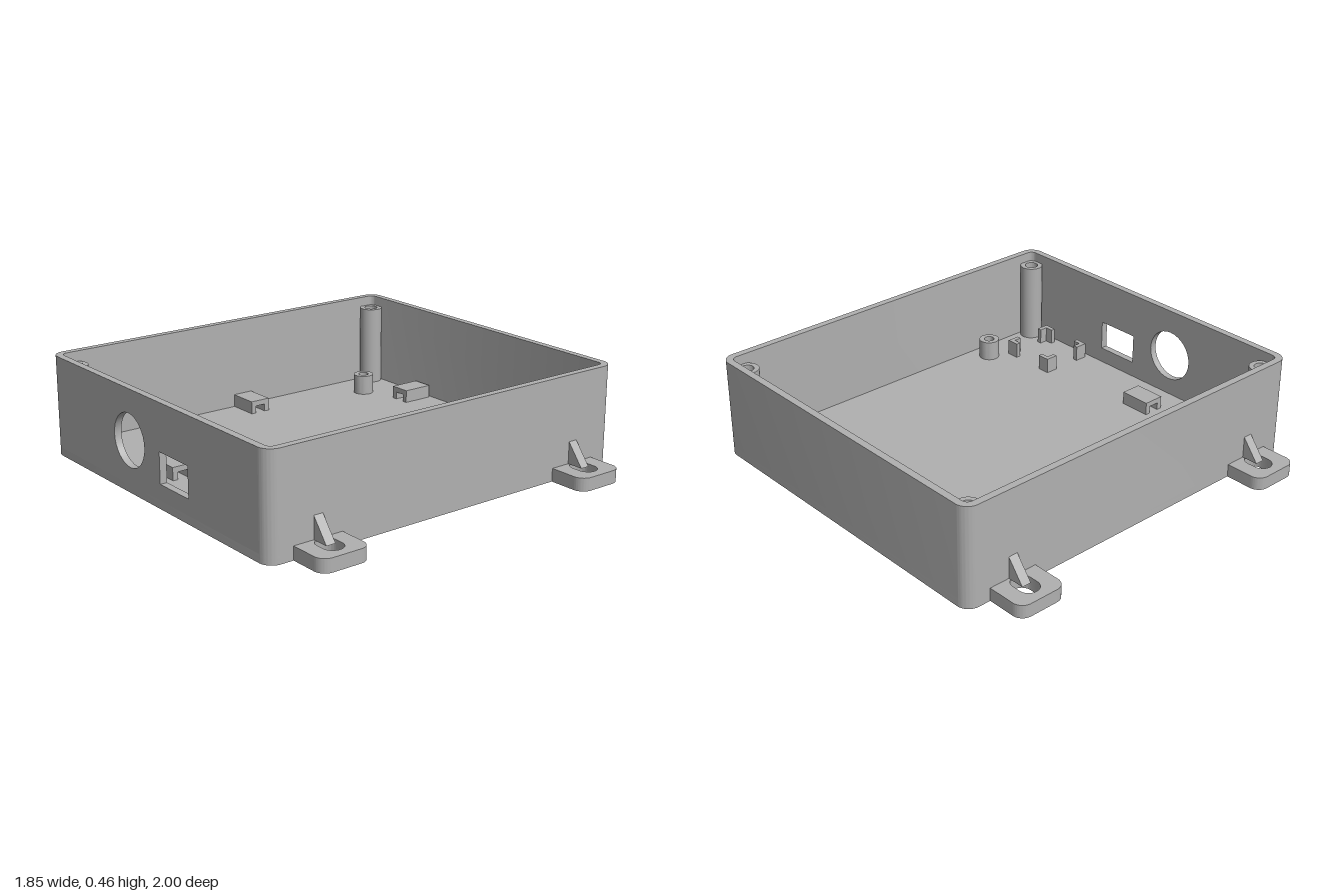
import * as THREE from 'three';
import { toCreasedNormals } from 'three/addons/utils/BufferGeometryUtils.js';

const W = 0.925, D = 0.822, H = 0.463;   // half width, half depth, height
const R = 0.06, T = 0.033;               // corner radius, wall thickness
const FLOOR = 0.037, GROOVE = 0.018;

export function createModel() {
  const model = new THREE.Group();
  model.name = 'enclosureBase';
  const grey = new THREE.MeshStandardMaterial({ color: 0xb0b0b0 });
  grey.name = 'grey plastic';

  const add = (name, geometry, parent = model) => {
    const mesh = new THREE.Mesh(toCreasedNormals(geometry, 0.5), grey);
    mesh.name = name;
    parent.add(mesh);
    return mesh;
  };
  const extrude = (shape, depth) =>
    new THREE.ExtrudeGeometry(shape, { depth, bevelEnabled: false, curveSegments: 16 });
  // plan shape (x, z) raised from y0 to y1
  const rise = (shape, y0, y1) => extrude(shape, y1 - y0).rotateX(Math.PI / 2).translate(0, y1, 0);
  // side shape (z, y) running from x1 towards -x
  const across = (shape, x1, width) => extrude(shape, width).rotateY(-Math.PI / 2).translate(x1, 0, 0);
  const poly = (...points) => new THREE.Shape(points.map(([x, y]) => new THREE.Vector2(x, y)));
  const rect = (x0, y0, x1, y1) => poly([x0, y0], [x1, y0], [x1, y1], [x0, y1]);
  const circle = (x, y, r) => new THREE.Shape().absarc(x, y, r, 0, Math.PI * 2);

  // Centres of the rounded corners with the start angle of each arc
  const corners = [
    [-W + R, -D + R, Math.PI], [W - R, -D + R, Math.PI * 1.5],
    [W - R, D - R, 0], [-W + R, D - R, Math.PI / 2],
  ];
  const outline = () => {
    const s = new THREE.Shape();
    corners.forEach(([x, z, a]) => s.absarc(x, z, R, a, a + Math.PI / 2));
    return s;
  };

  // Floor, with two long grooves underneath
  const underside = outline();
  for (const x of [-0.337, 0.503]) underside.holes.push(rect(x - 0.03, -0.645, x + 0.03, 0.645));
  add('floorUnderside', rise(underside, 0, GROOVE));
  add('floor', rise(outline(), GROOVE, FLOOR));

  // Front, back and left-hand walls in one piece
  const walls = outline();
  [...corners].reverse().forEach(([x, z, a]) => walls.absarc(x, z, R - T, a + Math.PI / 2, a, true));
  add('walls', rise(walls, FLOOR, H));

  // Wall with the round and rectangular connector openings
  const panel = rect(-D + R, FLOOR, D - R, H);
  panel.holes.push(circle(-0.165, 0.235, 0.12), rect(0.07, 0.11, 0.28, 0.25));
  add('connectorWall', across(panel, -W + T, T));

  // Screw posts and board standoffs
  const tube = (name, x, z, r, hole, top) => {
    const ring = circle(x, z, r);
    ring.holes.push(circle(x, z, hole));
    add(name, rise(ring, FLOOR, top));
  };
  for (const x of [-0.845, 0.845])
    for (const z of [-0.742, 0.742]) tube('screwPost', x, z, 0.054, 0.031, 0.417);
  for (const x of [-0.52, 0.68])
    for (const z of [-0.595, 0.695]) tube('standoff', x, z, 0.048, 0.024, 0.13);

  // Cable tie bridges
  const bridge = (x, z, turn) => {
    const arch = poly([-0.05, 0], [-0.025, 0], [-0.025, 0.035], [0.025, 0.035],
      [0.025, 0], [0.05, 0], [0.05, 0.06], [-0.05, 0.06]);
    const mesh = add('cableBridge', extrude(arch, 0.148).translate(0, 0, -0.074));
    mesh.position.set(x, FLOOR, z);
    mesh.rotation.y = turn;
  };
  bridge(-0.71, -0.172, 0);
  bridge(0.08, -0.716, 0);
  bridge(0.805, -0.375, Math.PI / 2);

  // Corner brackets holding a small module
  const L = 0.06, t = 0.022;
  for (const sx of [-1, 1])
    for (const sz of [-1, 1]) {
      const x = -0.737 + sx * 0.129, z = 0.507 + sz * 0.141;
      const angle = poly(...[[0, 0], [L, 0], [L, t], [t, t], [t, L], [0, L]]
        .map(([u, v]) => [x - sx * u, z - sz * v]));
      add('moduleBracket', rise(angle, FLOOR, 0.11));
    }

  // Mounting lugs with slots and gussets
  const lugShape = () => {
    const w = 0.118, r = 0.05, s = new THREE.Shape();
    s.moveTo(-w, D);
    s.lineTo(w, D);
    s.absarc(w - r, 1 - r, r, 0, Math.PI / 2);
    s.absarc(-w + r, 1 - r, r, Math.PI / 2, Math.PI);
    const slot = new THREE.Path();
    slot.absarc(0, 0.91, 0.046, 0, Math.PI);
    slot.absarc(0, 0.873, 0.046, Math.PI, Math.PI * 2);
    s.holes.push(slot);
    return s;
  };
  for (const x of [-0.69, 0.69])
    for (const turn of [0, Math.PI]) {
      const lug = new THREE.Group();
      lug.name = 'mountingLug';
      add('lugPlate', rise(lugShape(), 0, 0.06), lug);
      add('lugGusset', across(poly([D, 0.06], [0.9, 0.06], [D, 0.16]), 0.022, 0.044), lug);
      lug.position.x = x;
      lug.rotation.y = turn;
      model.add(lug);
    }
  return model;
}
